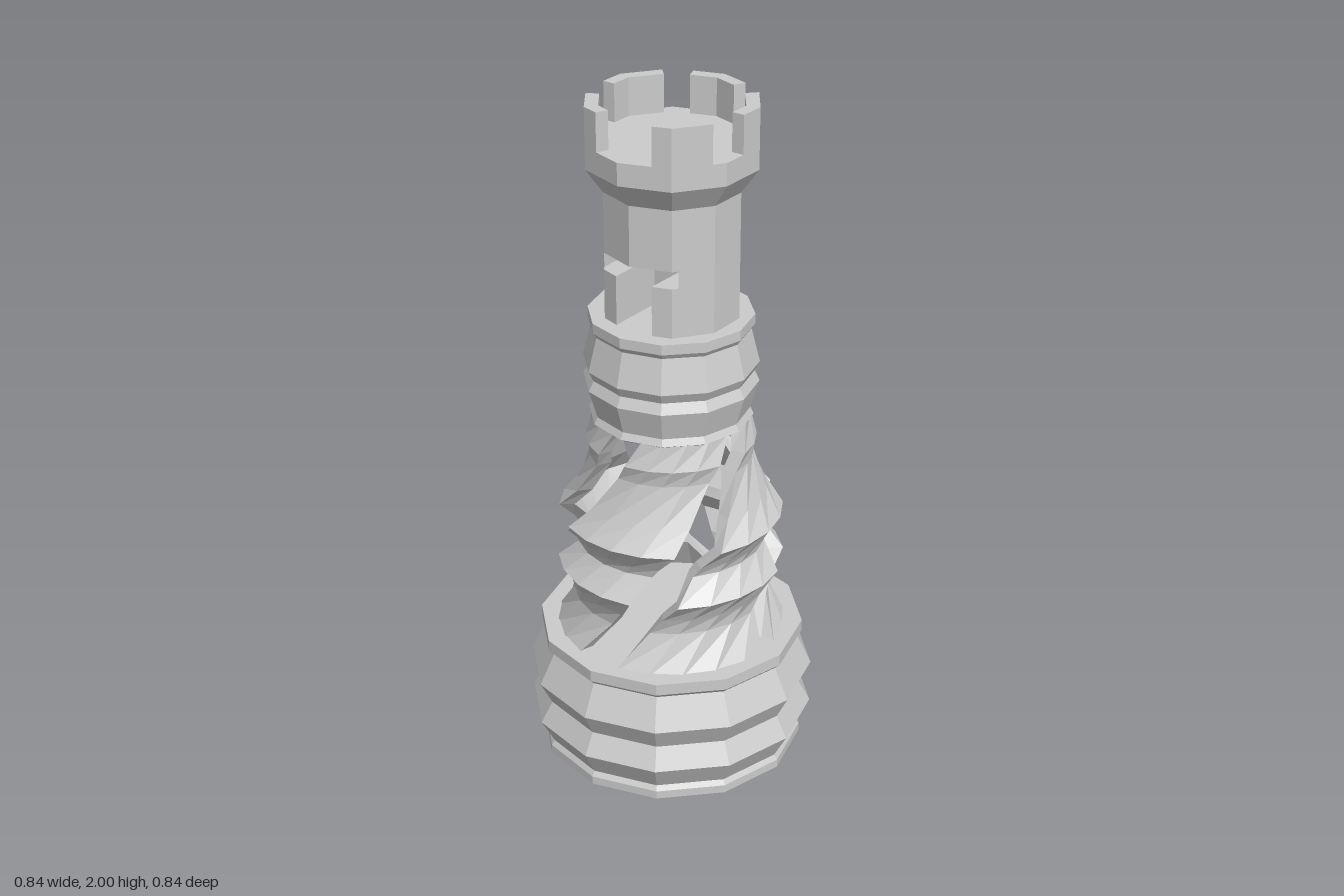
import * as THREE from 'three';

const RAD = Math.PI / 180;
const material = new THREE.MeshStandardMaterial({ color: 0xcccccc, flatShading: true });
const TOWER_Z = -0.005;
const SHAFT_R = 0.195, CROWN_R = 0.244, CROWN_INNER = 0.205;

function part(geometry, name) {
  const mesh = new THREE.Mesh(geometry, material);
  mesh.name = name;
  return mesh;
}

// faceted turned solid from [radius, height] pairs, closed at both ends
function turned(profile, sides, name) {
  const pts = [[0, profile[0][1]], ...profile, [0, profile.at(-1)[1]]];
  return part(new THREE.LatheGeometry(pts.map(p => new THREE.Vector2(...p)), sides), name);
}

// flat slab with an [x, z] outline between two heights
function slab(outline, y0, y1, name) {
  const shape = new THREE.Shape(outline.map(([x, z]) => new THREE.Vector2(x, -z)));
  const g = new THREE.ExtrudeGeometry(shape, { depth: y1 - y0, bevelEnabled: false });
  g.rotateX(-Math.PI / 2);
  g.translate(0, y0, 0);
  return part(g, name);
}

// point on a decagon with a corner facing the front; angle in degrees from +z
function decagon(r, deg) {
  const local = (((deg % 36) + 36) % 36) - 18;
  const d = r * Math.cos(18 * RAD) / Math.cos(local * RAD);
  return [d * Math.sin(deg * RAD), d * Math.cos(deg * RAD)];
}

// decagon with a straight slot of half width w cut in from the front
function slottedDecagon(r, w, depthZ) {
  let a = 0;
  while (decagon(r, a)[0] < w) a += 0.25;
  const pts = [decagon(r, a)];
  for (let k = 36; k < 360; k += 36) if (k > a && k < 360 - a) pts.push(decagon(r, k));
  const end = decagon(r, 360 - a);
  pts.push(end, [end[0], depthZ], [pts[0][0], depthZ]);
  return pts;
}

// wall block of the crown between two angles
function merlon(a0, a1) {
  const angles = [a0];
  for (let k = Math.ceil(a0 / 36) * 36; k < a1; k += 36) if (k > a0) angles.push(k);
  angles.push(a1);
  const outline = [
    ...angles.map(a => decagon(CROWN_R, a)),
    ...angles.reverse().map(a => decagon(CROWN_INNER, a)),
  ];
  return slab(outline, 1.885, 2, 'merlon');
}

// one twisted, rippled ribbon of the open waist
function ribbon(centre) {
  const profile = [
    [0.345, 0.38], [0.285, 0.5], [0.295, 0.55], [0.33, 0.61], [0.275, 0.68], [0.285, 0.71],
    [0.325, 0.77], [0.275, 0.84], [0.235, 0.95], [0.245, 1.0], [0.225, 1.08],
  ];
  const half = 33, steps = 4, thickness = 0.045;
  const ring = 2 * (steps + 1);
  const pos = [], index = [];
  for (const [r, y] of profile) {
    const mid = centre + (y - 0.735) * 140;
    for (let i = 0; i < ring; i++) {
      const outer = i <= steps;
      const t = outer ? i / steps : (ring - 1 - i) / steps;
      const a = (mid + (t * 2 - 1) * half) * RAD;
      const d = outer ? r : r - thickness;
      pos.push(d * Math.sin(a), y, d * Math.cos(a));
    }
  }
  for (let j = 0; j < profile.length - 1; j++) {
    for (let i = 0; i < ring; i++) {
      const a = j * ring + i, b = j * ring + (i + 1) % ring;
      index.push(a, b, b + ring, a, b + ring, a + ring);
    }
  }
  const g = new THREE.BufferGeometry();
  g.setAttribute('position', new THREE.Float32BufferAttribute(pos, 3));
  g.setIndex(index);
  g.computeVertexNormals();
  return part(g, 'twistedRibbon');
}

export function createModel() {
  const model = new THREE.Group();
  model.name = 'rookTower';

  // rippled base
  model.add(turned([
    [0.39, 0], [0.39, 0.025], [0.38, 0.04], [0.42, 0.115], [0.385, 0.18],
    [0.42, 0.25], [0.375, 0.345], [0.39, 0.36], [0.39, 0.395],
  ], 12, 'base'));

  // open waist of four twisted ribbons
  const waist = new THREE.Group();
  waist.name = 'twistedWaist';
  for (let k = 0; k < 4; k++) waist.add(ribbon(k * 90));
  model.add(waist);

  // rippled collar
  model.add(turned([
    [0.22, 1.065], [0.235, 1.075], [0.225, 1.095], [0.25, 1.18], [0.235, 1.21],
    [0.25, 1.24], [0.225, 1.34], [0.235, 1.355], [0.235, 1.385],
  ], 12, 'collar'));

  // tower: slotted foot, shaft, flared crown
  const tower = new THREE.Group();
  tower.name = 'tower';
  tower.position.z = TOWER_Z;
  tower.add(slab(slottedDecagon(SHAFT_R, 0.06, 0), 1.385, 1.53, 'doorStem'));
  tower.add(slab(slottedDecagon(SHAFT_R, 0.125, 0), 1.53, 1.58, 'doorCrossSlot'));
  tower.add(turned([
    [SHAFT_R, 1.58], [SHAFT_R, 1.755], [CROWN_R, 1.825], [CROWN_R, 1.89],
  ], 10, 'shaftAndCrown'));

  // five merlons around the crown, a wide gap at the front
  for (const [a0, a1] of [[23, 63], [90, 137], [158, 202], [223, 270], [297, 337]]) {
    tower.add(merlon(a0, a1));
  }
  model.add(tower);
  return model;
}
